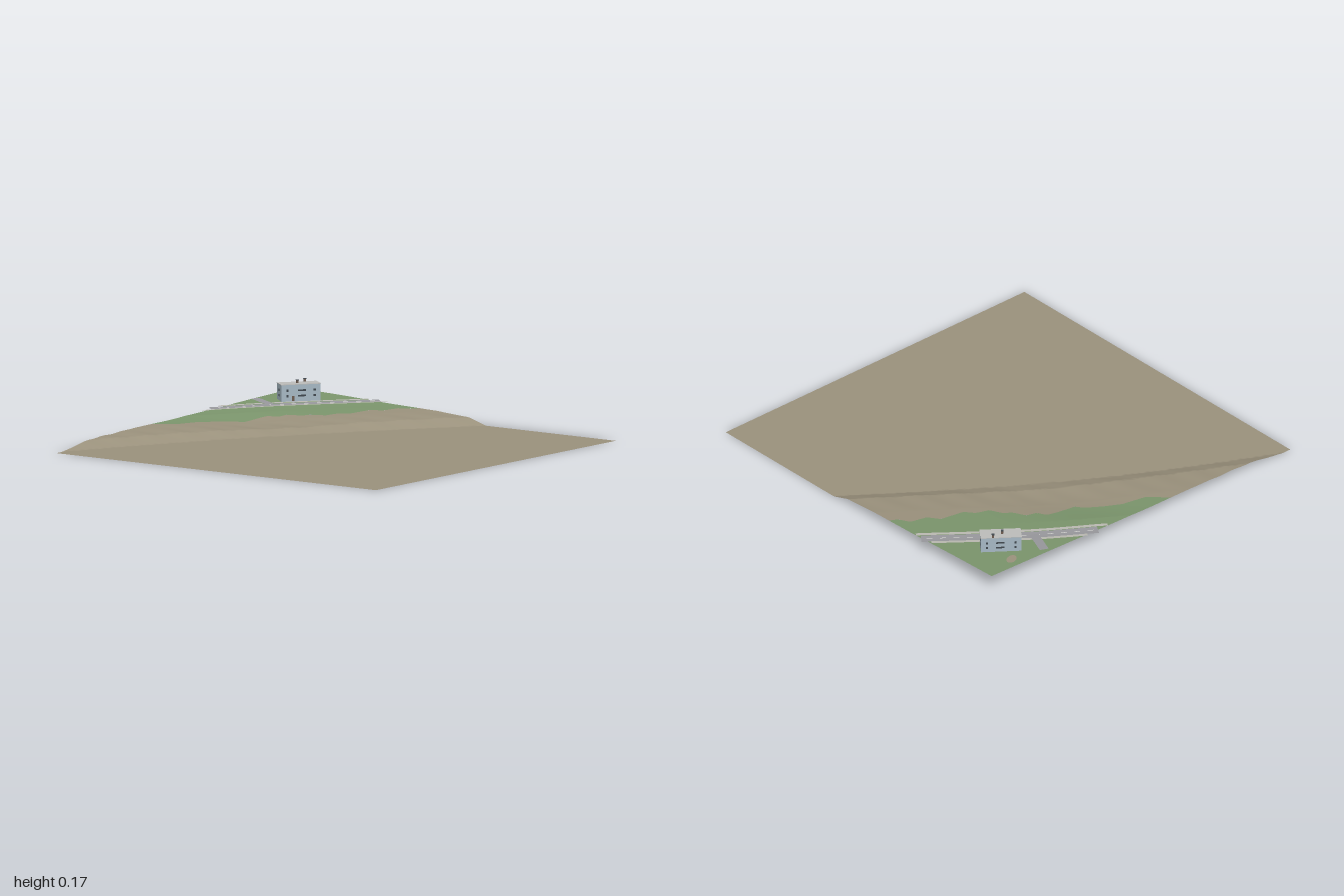
import * as THREE from 'three';
import { ParametricGeometry } from 'three/addons/geometries/ParametricGeometry.js';

const paint = (name, color, side = THREE.FrontSide) => {
  const m = new THREE.MeshStandardMaterial({ color, side });
  m.name = name;
  return m;
};

// Linear interpolation through [position, value] pairs
function sample(points, p) {
  if (p <= points[0][0]) return points[0][1];
  for (let i = 1; i < points.length; i++) {
    const [a, va] = points[i - 1], [b, vb] = points[i];
    if (p <= b) return va + (vb - va) * (p - a) / (b - a);
  }
  return points[points.length - 1][1];
}

const WEST = -1, EAST = 0.97, NORTH = -0.97, SOUTH = 1;

// Height of the hillside against the distance from its foot
const slope = [[0, 0], [0.09, 0.034], [0.26, 0.046], [0.5, 0.055], [0.75, 0.069], [1, 0.08]];

// Edge between grass and bare ground, as z over x
const grassEdge = [[-0.21, -0.97], [-0.13, -0.88], [0, -0.85], [0.08, -0.8], [0.16, -0.74], [0.18, -0.7],
  [0.3, -0.69], [0.35, -0.68], [0.37, -0.63], [0.43, -0.62], [0.46, -0.55], [0.5, -0.53], [0.53, -0.46],
  [0.6, -0.44], [0.64, -0.39], [0.77, -0.37], [0.81, -0.31], [0.9, -0.29], [0.93, -0.23], [0.97, -0.21]];

function groundHeight(x, z) {
  const t = THREE.MathUtils.clamp((x + 0.95) / 1.92, 0, 1);
  const foot = -0.97 + 1.17 * t - 0.08 * Math.sin(Math.PI * t);
  const d = (foot - z) * 0.853;
  if (d <= 0) return 0;
  const dip = 0.017 * Math.exp(-(((x - 0.2) / 0.25) ** 2)) * Math.sin(Math.PI * Math.min(d / 0.45, 1));
  const gully = 0.002 * Math.sin(x * 38) * Math.sin(Math.PI * Math.min(d / 0.25, 1));
  return Math.max(0, sample(slope, d) - dip + gully);
}

export function createModel() {
  const model = new THREE.Group();
  model.name = 'hillsidePlot';
  const two = THREE.DoubleSide;
  const mat = {
    earth: paint('bare earth', 0x9a917c, two),
    grass: paint('grass', 0x7b956c, two),
    asphalt: paint('asphalt', 0x98989c, two),
    pavement: paint('pavement', 0xbab9b2, two),
    line: paint('lane marking', 0xdcdcd8, two),
    wall: paint('wall', 0xa6b8c4),
    roof: paint('roof', 0xbcbcba),
    window: paint('window', 0x3f474e),
    chimney: paint('chimney', 0x6e5c50),
  };
  const add = (parent, name, geometry, material, x = 0, y = 0, z = 0) => {
    const mesh = new THREE.Mesh(geometry, material);
    mesh.name = name;
    mesh.position.set(x, y, z);
    parent.add(mesh);
    return mesh;
  };

  // Ground sheets: each column runs from its near edge to its far edge
  const sheet = (name, material, x0, x1, near, far, nx, nz) =>
    add(model, name, new ParametricGeometry((u, v, out) => {
      const x = x0 + (x1 - x0) * u;
      const z = near(x) + (far(x) - near(x)) * v;
      out.set(x, groundHeight(x, z), z);
    }, nx, nz), material);
  const edge = x => sample(grassEdge, x);
  sheet('bareGround', mat.earth, WEST, EAST, () => SOUTH, edge, 140, 110);
  sheet('grassField', mat.grass, -0.21, EAST, edge, () => NORTH, 100, 24);

  // Road strips draped along a curve
  const roadPath = new THREE.CatmullRomCurve3([[0.19, -1.025], [0.4, -0.895], [0.56, -0.787],
    [0.77, -0.625], [1.03, -0.416]].map(([x, z]) => new THREE.Vector3(x, 0, z)));
  const strip = (name, material, curve, t0, t1, offset, width, lift, steps) =>
    add(model, name, new ParametricGeometry((u, v, out) => {
      const t = t0 + (t1 - t0) * u;
      const p = curve.getPointAt(t), dir = curve.getTangentAt(t);
      const side = offset + (v - 0.5) * width;
      const x = p.x + dir.z * side, z = p.z - dir.x * side;
      const cx = THREE.MathUtils.clamp(p.x, WEST, EAST), cz = Math.max(p.z, NORTH);
      // keep the strip level across its width
      out.set(x, Math.max(groundHeight(cx, cz), groundHeight(x, z)) + lift, z);
    }, steps, 4), material);
  strip('road', mat.asphalt, roadPath, 0.093, 0.936, 0, 0.062, 0.003, 40);
  strip('nearPavement', mat.pavement, roadPath, 0.04, 0.96, -0.041, 0.02, 0.005, 40);
  strip('farPavement', mat.pavement, roadPath, 0.15, 0.89, 0.041, 0.02, 0.005, 40);
  for (let i = 0; i < 13; i++) {
    const t = 0.115 + i * 0.064;
    strip('laneDash', mat.line, roadPath, t, t + 0.028, 0, 0.005, 0.0045, 3);
  }
  const lane = new THREE.LineCurve3(new THREE.Vector3(0.54, 0, -0.8), new THREE.Vector3(0.605, 0, -0.95));
  strip('sideLane', mat.asphalt, lane, 0, 1, 0, 0.046, 0.006, 10);

  // Patch of bare soil behind the house
  const soil = new THREE.CircleGeometry(1, 14).rotateX(-Math.PI / 2).scale(0.037, 1, 0.024);
  add(model, 'soilPatch', soil, mat.earth, 0.785, groundHeight(0.785, -0.91) + 0.003, -0.91).rotation.y = 0.5;

  // House
  const house = new THREE.Group();
  house.name = 'house';
  house.position.set(0.746, 0.058, -0.785);
  house.rotation.y = -0.651;
  model.add(house);
  const L = 0.2, W = 0.078, H = 0.09;
  add(house, 'walls', new THREE.BoxGeometry(L, H, W), mat.wall, 0, H / 2, 0);
  add(house, 'roofSlab', new THREE.BoxGeometry(L + 0.004, 0.003, W + 0.004), mat.roof, 0, H + 0.0005, 0);

  // Windows on two floors, and doors
  const longPane = new THREE.BoxGeometry(0.04, 0.008, 0.002);
  const smallPane = new THREE.BoxGeometry(0.01, 0.011, 0.002);
  const endPane = new THREE.BoxGeometry(0.002, 0.011, 0.012);
  for (const s of [1, -1]) {
    const z = s * (W / 2 + 0.0005), x = s * (L / 2 + 0.0005);
    for (const y of [0.034, 0.061]) {
      add(house, 'wideWindow', longPane, mat.window, 0.005, y, z);
      for (const wx of [-0.07, 0.07]) add(house, 'smallWindow', smallPane, mat.window, wx, y, z);
      add(house, 'endWindow', endPane, mat.window, x, y, 0);
    }
  }
  add(house, 'door', new THREE.BoxGeometry(0.013, 0.024, 0.002), mat.chimney, -0.04, 0.021, W / 2 + 0.0005);

  // Chimneys with dark caps
  for (const [x, z] of [[-0.008, 0], [0.04, -0.036 + 0.002]]) {
    add(house, 'chimney', new THREE.BoxGeometry(0.011, 0.016, 0.011), mat.chimney, x, H + 0.008, z);
    add(house, 'chimneyCap', new THREE.BoxGeometry(0.013, 0.003, 0.013), mat.window, x, H + 0.017, z);
  }
  return model;
}
